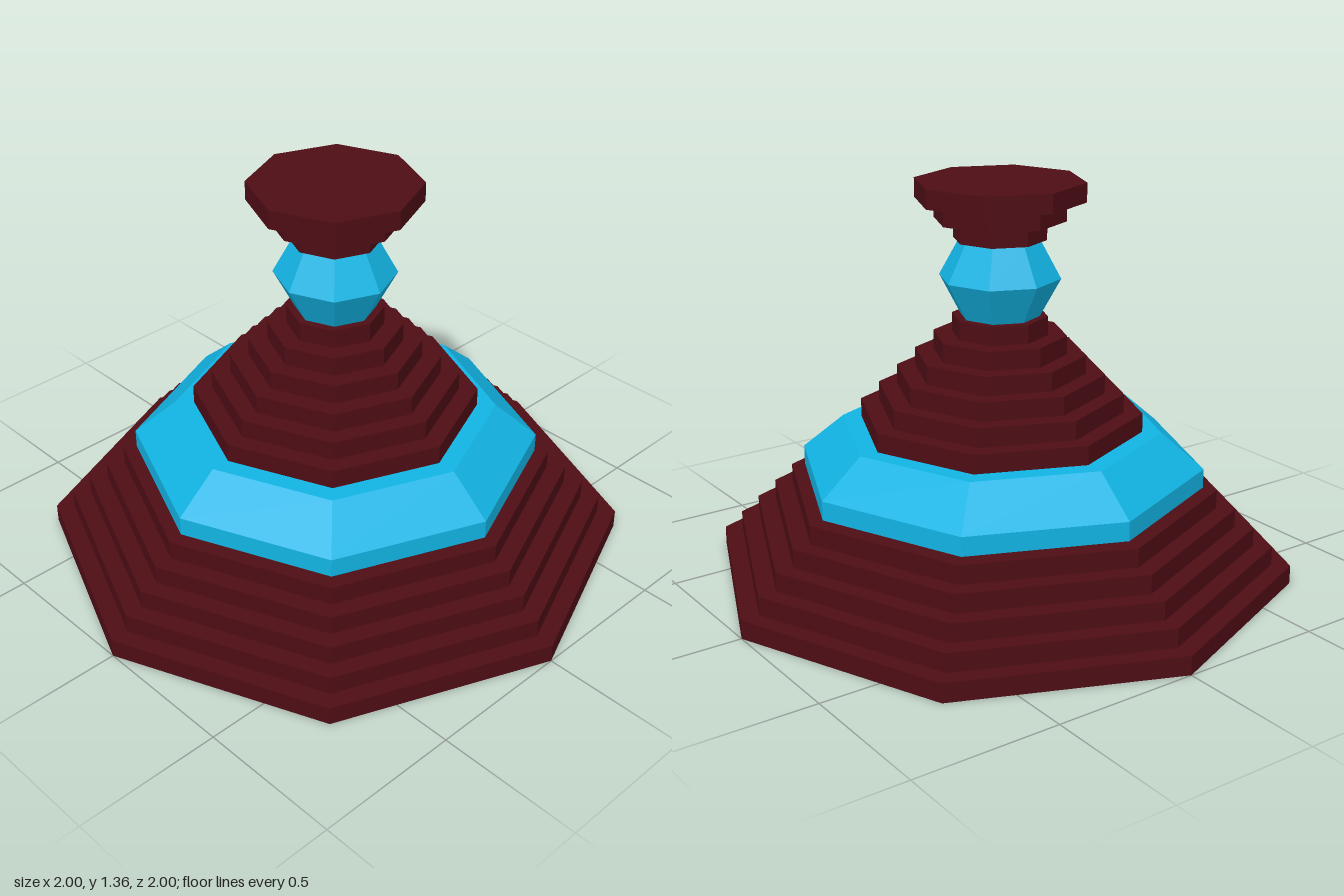
import * as THREE from 'three';

export function createModel() {
  const model = new THREE.Group();
  const red = new THREE.MeshStandardMaterial({ color: 0x4d0d14, flatShading: true });
  const blue = new THREE.MeshStandardMaterial({ color: 0x12b4e4, flatShading: true });

  // Eight-sided frustum standing on y, with corners on the axes
  function tier(parent, name, material, y, height, bottom, top = bottom) {
    const mesh = new THREE.Mesh(new THREE.CylinderGeometry(top, bottom, height, 8), material);
    mesh.name = name;
    mesh.position.y = y + height / 2;
    parent.add(mesh);
  }

  // Stack of equal steps whose radius changes by a fixed amount
  function steps(name, count, y, radius, change) {
    const group = new THREE.Group();
    group.name = name;
    for (let i = 0; i < count; i++) {
      tier(group, `${name}Step${i + 1}`, red, y + i * 0.0645, 0.0645, radius + i * change);
    }
    model.add(group);
  }

  steps('base', 5, 0, 1, -0.0645);

  // Blue band with a sloping shoulder
  tier(model, 'bandRim', blue, 0.33, 0.065, 0.695);
  tier(model, 'bandShoulder', blue, 0.395, 0.122, 0.695, 0.55);

  steps('upper', 6, 0.517, 0.485, -0.0645);

  // Blue gem, widest at the middle
  tier(model, 'gemLower', blue, 0.904, 0.13, 0.135, 0.205);
  tier(model, 'gemUpper', blue, 1.034, 0.128, 0.205, 0.135);

  // Capital flaring outward
  steps('capital', 3, 1.162, 0.157, 0.0645);
  return model;
}
